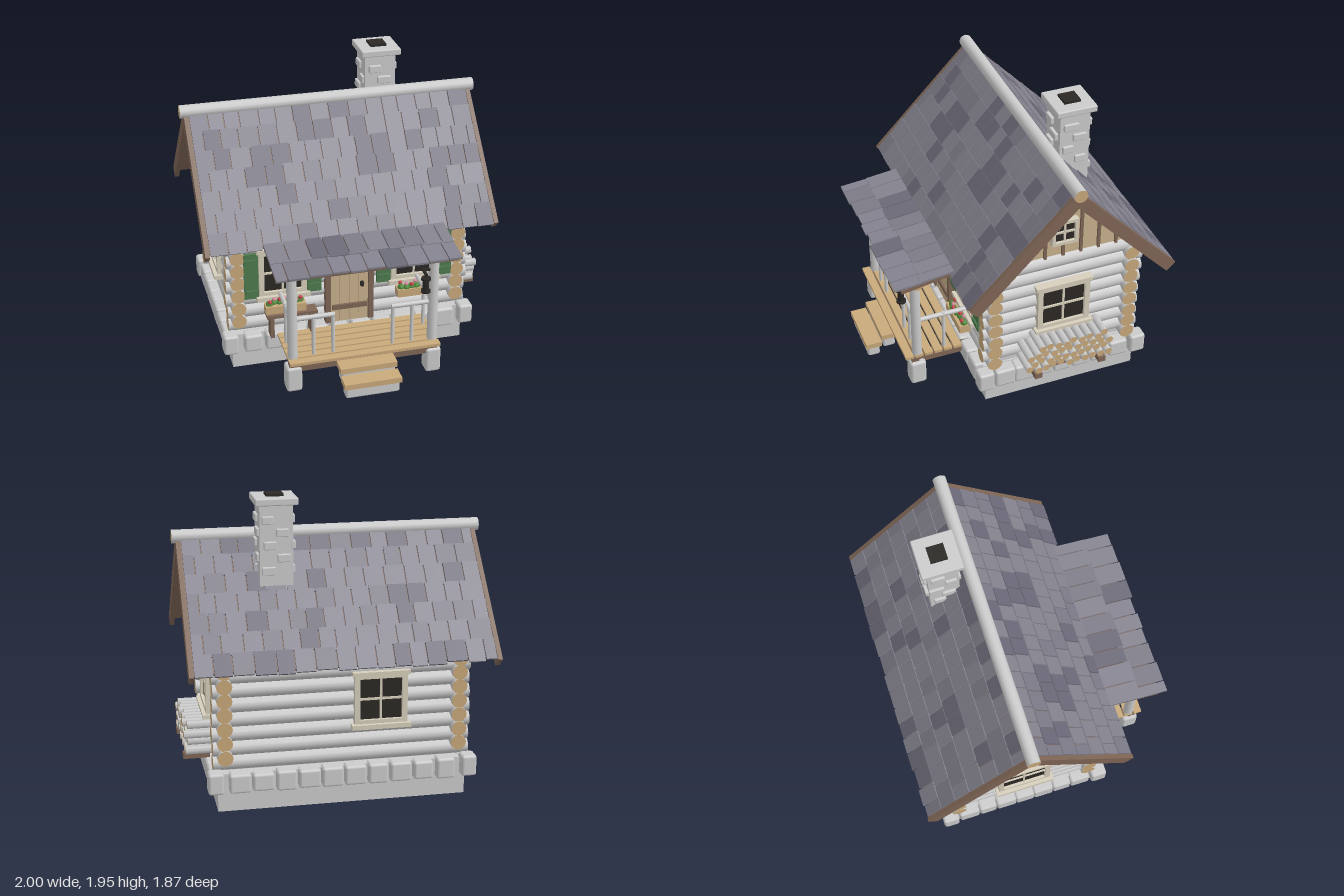
import * as THREE from 'three';
import { RoundedBoxGeometry } from 'three/addons/geometries/RoundedBoxGeometry.js';

const mat = (color) => new THREE.MeshStandardMaterial({ color });
const GREY = mat(0xcccccc), TAN = mat(0xc8a97a), PLANK = mat(0xc9b08c), BROWN = mat(0x7f6656);
const DARK = mat(0x2b2825), CREAM = mat(0xd6cebb), GREEN = mat(0x4c7a4c), LEAF = mat(0x4f8a3c);
const PETALS = [mat(0xc8404a), mat(0xd98aa0)];
const SLATE = [mat(0x85838f), mat(0x7d7b87), mat(0x85838f), mat(0x6c6a78)];
const MIDZ = -0.232; // ridge line and middle of the house

let seed = 7;
const rnd = () => (seed = (seed * 16807) % 2147483647) / 2147483647;

function add(parent, name, geo, material, x = 0, y = 0, z = 0) {
  const m = new THREE.Mesh(geo, material);
  m.name = name;
  m.position.set(x, y, z);
  parent.add(m);
  return m;
}
function box(parent, name, w, h, d, x, y, z, material) {
  return add(parent, name, new THREE.BoxGeometry(w, h, d), material, x, y, z);
}
function stone(parent, name, w, h, d, x, y, z) {
  return add(parent, name, new RoundedBoxGeometry(w, h, d, 1, Math.min(w, h, d) * 0.18), GREY, x, y, z);
}
function log(parent, name, r, len, axis, x, y, z, ends = TAN, sides = 12) {
  const m = add(parent, name, new THREE.CylinderGeometry(r, r, len, sides), [GREY, ends, ends], x, y, z);
  if (axis === 'x') m.rotation.z = Math.PI / 2;
  if (axis === 'z') m.rotation.x = Math.PI / 2;
  return m;
}
function group(parent, name, x = 0, y = 0, z = 0, ry = 0) {
  const g = new THREE.Group();
  g.name = name;
  g.position.set(x, y, z);
  g.rotation.y = ry;
  parent.add(g);
  return g;
}

// Window facing local +z
function windowUnit(parent, name, w, h, x, y, z, ry, t = 0.035, sill = true) {
  const g = group(parent, name, x, y, z, ry);
  box(g, 'glass', w - t, h - t, 0.02, 0, 0, 0, DARK);
  for (const s of [-1, 1]) {
    box(g, 'frameSide', t, h, 0.05, s * (w - t) / 2, 0, 0.005, CREAM);
    box(g, 'frameRail', w, t, 0.05, 0, s * (h - t) / 2, 0.005, CREAM);
  }
  box(g, 'verticalBar', 0.014, h - t, 0.03, 0, 0, 0.005, CREAM);
  box(g, 'crossBar', w - t, 0.014, 0.03, 0, 0, 0.005, CREAM);
  if (sill) {
    box(g, 'sill', w + 0.04, 0.03, 0.08, 0, -h / 2 - 0.005, 0.015, CREAM);
    box(g, 'lintel', w + 0.03, 0.025, 0.06, 0, h / 2, 0.01, CREAM);
  }
  return g;
}

// One course of slates across a roof, in the roof's own plane
function slateRow(parent, halfW, z0, len, width, offset, y, tilt) {
  let x = -halfW;
  let w = width * (offset ? 0.6 : 1);
  while (x < halfW - 0.01) {
    w = Math.min(w, halfW - x);
    if (halfW - x - w < 0.04) w = halfW - x;
    const l = len + (rnd() - 0.5) * 0.02;
    const s = box(parent, 'slate', w - 0.008, 0.014, l, x + w / 2, y, z0 + l / 2, SLATE[Math.floor(rnd() * 4)]);
    s.rotation.x = tilt;
    x += w;
    w = width * (0.85 + rnd() * 0.3);
  }
}

function foundation(root) {
  const g = group(root, 'foundation');
  box(g, 'base', 1.6, 0.25, 1.06, 0, 0.125, MIDZ, GREY);
  const edge = (n, half, place) => {
    for (let i = 1; i < n; i++) place(-half + (2 * half * i) / n, 0.12 + rnd() * 0.025, 0.115 + rnd() * 0.025);
  };
  for (const s of [-1, 1]) {
    edge(11, 0.81, (x, w, h) => stone(g, 'edgeStone', w, h, 0.1, x, 0.195, MIDZ + s * 0.535));
    edge(8, 0.54, (z, w, h) => stone(g, 'edgeStone', 0.1, h, w, s * 0.8, 0.195, MIDZ + z));
    for (const k of [-1, 1]) stone(g, 'cornerStone', 0.1, 0.14, 0.11, s * 0.815, 0.205, MIDZ + k * 0.54);
  }
}

function walls(root) {
  const g = group(root, 'logWalls');
  box(g, 'wallCore', 1.48, 0.8, 0.92, 0, 0.65, MIDZ, GREY);
  for (const s of [-1, 1]) for (let i = 0; i < 8; i++) {
    log(g, 'longLog', 0.05, 1.63 + rnd() * 0.03, 'x', 0, 0.31 + i * 0.094, MIDZ + s * 0.47);
    log(g, 'sideLog', 0.05, 1.08 + rnd() * 0.03, 'z', s * 0.75, 0.357 + i * 0.094, MIDZ);
  }
  // Gables: planked triangle, battens and small window
  const tri = new THREE.Shape([[-0.55, 1.04], [0.55, 1.04], [0, 1.6]].map((p) => new THREE.Vector2(...p)));
  for (const s of [-1, 1]) {
    const gable = group(g, 'gable', s * 0.73, 0, MIDZ, s * Math.PI / 2);
    add(gable, 'planks', new THREE.ExtrudeGeometry(tri, { depth: 0.035, bevelEnabled: false }), PLANK);
    for (let i = -4; i <= 4; i++) {
      const h = 0.54 - Math.abs(i) * 0.122 * 1.02;
      if (h > 0.02) box(gable, 'batten', 0.02, h, 0.02, i * 0.122, 1.05 + h / 2, 0.04, BROWN);
    }
    windowUnit(gable, 'gableWindow', 0.175, 0.18, 0, 1.25, 0.045, 0, 0.022, false);
    windowUnit(g, 'sideWindow', 0.36, 0.34, s * 0.795, 0.685, MIDZ, s * Math.PI / 2);
  }
  windowUnit(g, 'backWindow', 0.34, 0.34, -0.24, 0.685, MIDZ - 0.515, Math.PI);
}

function roof(root) {
  const g = group(root, 'roof', 0, 1.665, MIDZ);
  for (const ry of [0, Math.PI]) {
    const side = group(g, 'roofSide', 0, 0, 0, ry);
    const plane = group(side, 'slope');
    plane.rotation.x = 0.802;
    box(plane, 'decking', 1.9, 0.03, 0.97, 0, -0.025, 0.485, BROWN);
    for (const s of [-1, 1]) box(plane, 'bargeBoard', 0.03, 0.08, 1.0, s * 0.96, -0.036, 0.5, BROWN);
    for (let r = 0; r < 7; r++) slateRow(plane, 0.945, 0.015 + r * 0.139, 0.15, 0.12, r % 2, 0.002, 0.05);
  }
  log(g, 'ridgeLog', 0.044, 2, 'x', 0, -0.005, 0);
}

function chimney(root) {
  const g = group(root, 'chimney', 0.375, 0, -0.415);
  box(g, 'shaft', 0.21, 0.65, 0.2, 0, 1.59, 0, GREY);
  stone(g, 'cap', 0.27, 0.045, 0.27, 0, 1.915, 0);
  box(g, 'flue', 0.11, 0.02, 0.11, 0, 1.942, 0, DARK);
  for (let f = 0; f < 4; f++) {
    const face = group(g, 'chimneyFace', 0, 0, 0, f * Math.PI / 2);
    for (let i = 0; i < 5; i++)
      stone(face, 'chimneyStone', 0.07 + rnd() * 0.03, 0.05, 0.03, (i % 2 ? 0.04 : -0.04) + (rnd() - 0.5) * 0.03, 1.48 + i * 0.08, 0.107);
  }
}

function frontWall(root) {
  const door = group(root, 'door', 0, 0, 0.3);
  for (let i = 0; i < 4; i++) box(door, 'doorPlank', 0.062, 0.55, 0.025, -0.0975 + i * 0.065, 0.535, 0, PLANK);
  box(door, 'doorBack', 0.26, 0.55, 0.02, 0, 0.535, -0.01, BROWN);
  for (const s of [-1, 1]) box(door, 'doorJamb', 0.035, 0.58, 0.05, s * 0.148, 0.55, 0, BROWN);
  box(door, 'doorHead', 0.33, 0.035, 0.055, 0, 0.83, 0, BROWN);
  for (const y of [0.375, 0.695]) box(door, 'doorBrace', 0.24, 0.035, 0.02, 0, y, 0.018, BROWN);
  box(door, 'handle', 0.022, 0.03, 0.03, 0.085, 0.535, 0.022, DARK);

  for (const s of [-1, 1]) {
    windowUnit(root, 'frontWindow', 0.32, 0.34, s * 0.45, 0.69, 0.285, 0);
    for (const k of [-1, 1]) {
      const sh = group(root, 'shutter', s * 0.45 + k * 0.212, 0.685, 0.305);
      box(sh, 'panel', 0.095, 0.33, 0.022, 0, 0, 0, GREEN);
      for (const y of [-0.115, 0.115]) box(sh, 'shutterBatten', 0.08, 0.03, 0.015, 0, y, 0.015, GREEN);
    }
    // Flower box
    const fb = group(root, 'flowerBox', s * 0.45, 0.46, 0.36);
    box(fb, 'planter', 0.27, 0.055, 0.075, 0, 0, 0, TAN);
    for (let i = 0; i < 7; i++) {
      const x = -0.105 + i * 0.035;
      add(fb, 'leaves', new THREE.IcosahedronGeometry(0.024, 1), LEAF, x, 0.032, (rnd() - 0.5) * 0.03);
      add(fb, 'flower', new THREE.IcosahedronGeometry(0.014, 1), PETALS[i % 2], x, 0.056, (rnd() - 0.5) * 0.045);
    }
  }
  // Bench under the window beside the door
  const bench = group(root, 'bench', -0.41, 0, 0.365);
  box(bench, 'benchSeat', 0.34, 0.022, 0.09, 0, 0.415, 0, BROWN);
  for (const s of [-1, 1]) box(bench, 'benchLeg', 0.025, 0.15, 0.08, s * 0.135, 0.33, 0, BROWN);
}

function porch(root) {
  const g = group(root, 'porch');
  for (let i = 0; i < 6; i++) box(g, 'deckBoard', 1.01, 0.02, 0.055, 0, 0.25, 0.385 + i * 0.067, TAN);
  box(g, 'frontBeam', 1.0, 0.07, 0.05, 0, 0.205, 0.68, BROWN);
  for (const s of [-1, 1]) {
    box(g, 'joist', 0.05, 0.06, 0.36, s * 0.46, 0.21, 0.49, BROWN);
    stone(g, 'footing', 0.105, 0.18, 0.11, s * 0.47, 0.115, 0.665);
    log(g, 'post', 0.034, 0.64, 'y', s * 0.47, 0.57, 0.66);
    // Railings
    log(g, 'sideRail', 0.016, 0.34, 'z', s * 0.47, 0.535, 0.48, GREY, 8);
    log(g, 'frontRail', 0.016, 0.28, 'x', s * 0.33, 0.54, 0.66, GREY, 8);
    for (const [x, z] of [[0.47, 0.47], [0.33, 0.66], [0.2, 0.66]]) log(g, 'railPost', 0.013, 0.3, 'y', s * x, 0.4, z, GREY, 8);
  }
  log(g, 'porchBeam', 0.035, 1.1, 'x', 0, 0.885, 0.66);

  const pr = group(g, 'porchRoof', 0, 0.978, 0.4);
  pr.rotation.x = 0.17;
  box(pr, 'porchDecking', 1.19, 0.025, 0.39, 0, -0.01, 0.195, BROWN);
  slateRow(pr, 0.605, 0.03, 0.22, 0.13, 0, 0.012, -0.05);
  slateRow(pr, 0.605, 0.22, 0.21, 0.13, 1, 0.018, -0.07);

  // Steps
  for (const [y, z] of [[0.195, 0.765], [0.145, 0.875]]) {
    box(g, 'tread', 0.38, 0.038, 0.11, 0, y, z, TAN);
    stone(g, 'stepBase', 0.36, 0.08, 0.085, 0, y - 0.055, z);
  }

  // Lantern hung off the post
  const l = group(g, 'lantern', 0.395, 0.71, 0.73);
  box(l, 'bracket', 0.015, 0.015, 0.08, 0, 0.075, -0.025, DARK);
  box(l, 'bracketArm', 0.07, 0.015, 0.015, 0.035, 0.075, -0.06, DARK);
  box(l, 'hook', 0.01, 0.04, 0.01, 0, 0.06, 0, DARK);
  add(l, 'lanternBody', new THREE.CylinderGeometry(0.022, 0.022, 0.09, 8), DARK);
  for (const s of [-1, 1]) add(l, 'lanternCap', new THREE.CylinderGeometry(0.033, 0.033, 0.014, 8), DARK, 0, s * 0.045, 0);
}

function woodpile(root) {
  const g = group(root, 'woodpile');
  for (const z of [0.0, -0.45]) box(g, 'bearer', 0.17, 0.04, 0.05, 0.9, 0.275, z, BROWN);
  box(g, 'bearerRail', 0.03, 0.035, 0.5, 0.9, 0.277, MIDZ, BROWN);
  for (let r = 0; r < 4; r++) {
    const n = r % 2 ? 10 : 11;
    for (let i = 0; i < n - (r === 3 ? 1 : 0); i++) {
      const len = 0.165 + rnd() * 0.03;
      log(g, 'firewood', 0.027, len, 'x', 0.79 + len / 2, 0.322 + r * 0.054, MIDZ + 0.01 + (i - (n - 1) / 2) * 0.055, TAN, 6);
    }
  }
}

export function createModel() {
  seed = 7;
  const root = new THREE.Group();
  root.name = 'logCabin';
  [foundation, walls, roof, chimney, frontWall, porch, woodpile].forEach((build) => build(root));
  return root;
}
